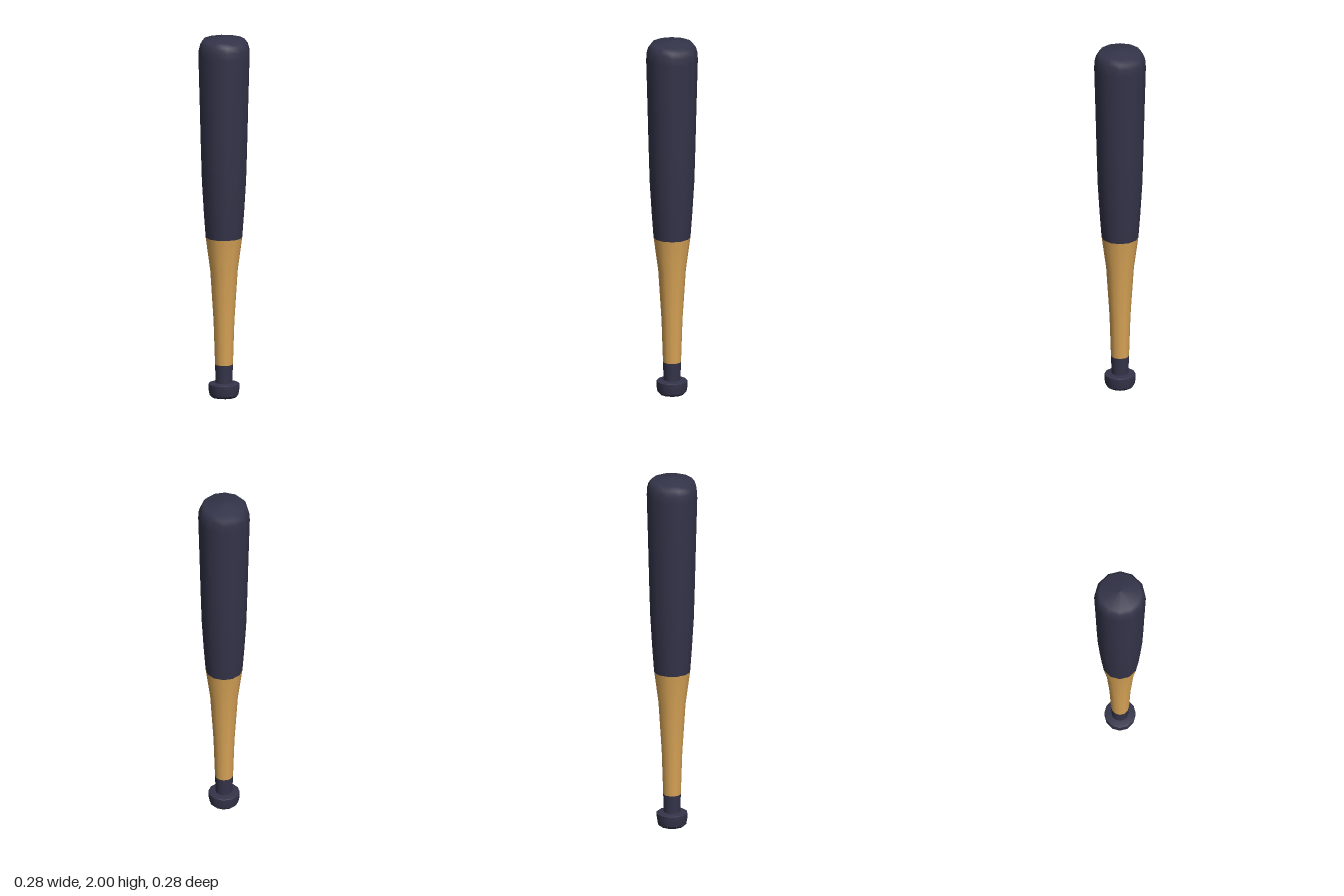
import * as THREE from 'three';

const SIDES = 12;

export function createModel() {
  const group = new THREE.Group();
  const navy = new THREE.MeshStandardMaterial({ color: 0x34344a });
  navy.name = 'dark navy';
  const wood = new THREE.MeshStandardMaterial({ color: 0xd8a457 });
  wood.name = 'light wood';

  // Turns a [radius, height] profile, listed bottom to top, around y
  const turn = (name, material, profile) => {
    const points = profile.map(([r, y]) => new THREE.Vector2(r, y));
    const mesh = new THREE.Mesh(new THREE.LatheGeometry(points, SIDES), material);
    mesh.name = name;
    group.add(mesh);
  };

  // Knob: flat underside, small bevel, straight rim, flat shoulder
  turn('knobBase', navy, [[0, 0], [0.068, 0], [0.079, 0.012]]);
  turn('knobRim', navy, [[0.079, 0.012], [0.085, 0.045], [0.085, 0.072]]);
  turn('knobTop', navy, [[0.085, 0.072], [0.08, 0.076], [0.046, 0.079]]);

  // Dark collar above the knob
  turn('gripCollar', navy, [[0.046, 0.07], [0.047, 0.12], [0.049, 0.18]]);

  // Bare tapered handle
  turn('handle', wood, [[0.049, 0.18], [0.057, 0.42], [0.075, 0.7], [0.1, 0.885]]);

  // Barrel with a rounded, slightly domed tip
  turn('barrel', navy, [
    [0.1, 0.885], [0.11, 1.02], [0.121, 1.2], [0.127, 1.4], [0.132, 1.6],
    [0.14, 1.89], [0.138, 1.93], [0.13, 1.96], [0.113, 1.983], [0, 2],
  ]);

  return group;
}
